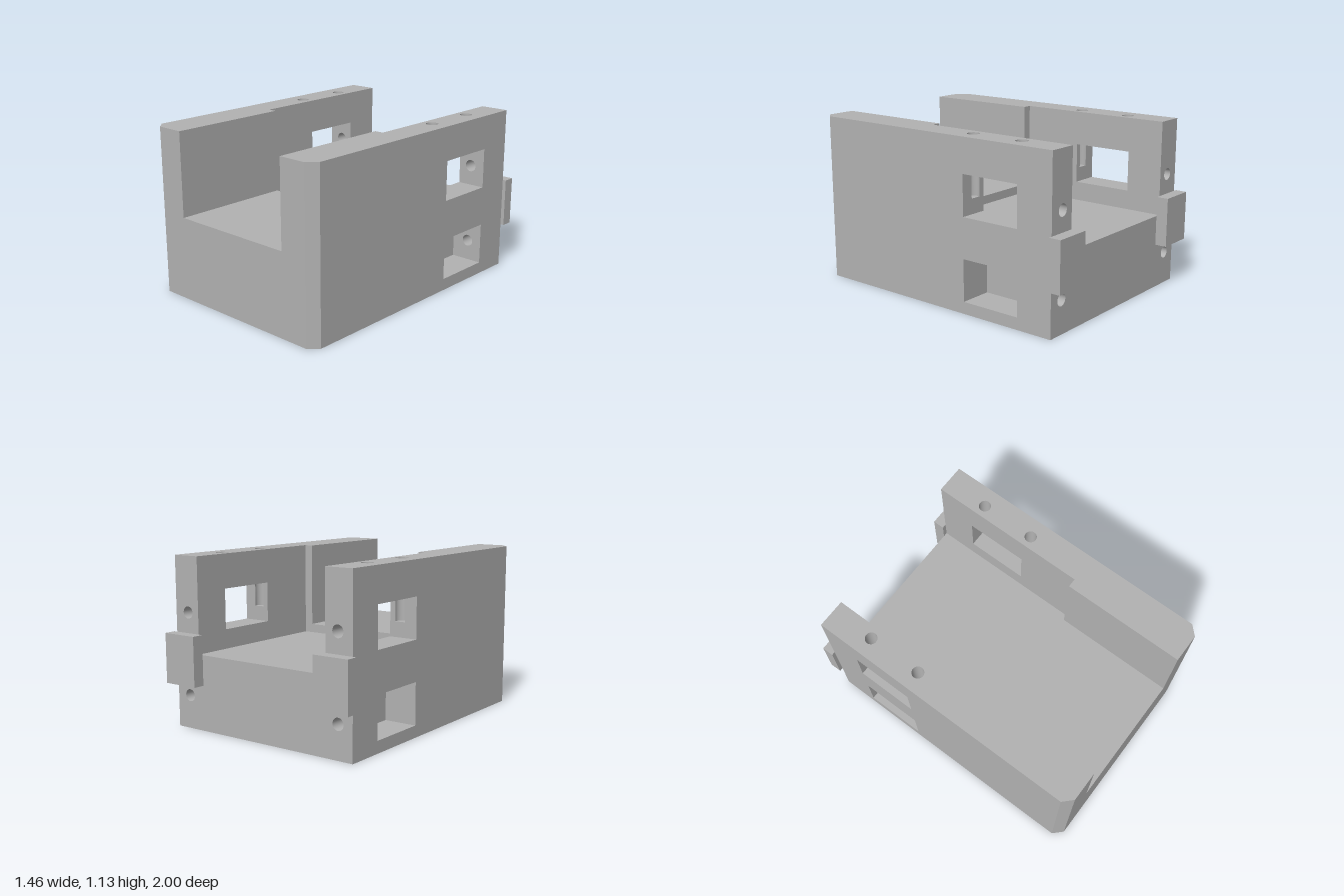
import * as THREE from 'three';

const W = 0.705, H = 1.13;            // half width, wall height
const BACK = -0.92, FRONT = 1, CH = 0.06; // ends and corner chamfer
const STEP = 0.17;                    // where the channel widens
const IN_F = 0.45, IN_R = 0.51;       // channel half widths, front and rear
const FL_F = 0.56, FL_R = 0.5;        // channel floors, front and rear
const WZ0 = -0.67, WZ1 = -0.25;       // window ends
const R = 0.04, BX = 0.585, BZ = [-0.61, -0.235], BORE_END = 0.73; // top bores
const PX = 0.6;                       // rear bores
const UP = { y0: 0.63, y1: 0.9, depth: IN_R, cy: 0.765 };
const LOW = { y0: 0.08, y1: 0.36, depth: 0.48, cy: 0.22 };

const rect = (a0, b0, a1, b1) => [[a0, b0], [a1, b0], [a1, b1], [a0, b1]];
const arc = (a, b, t0, t1, n = 32) => Array.from({ length: n + 1 }, (_, i) => {
  const t = t0 + (t1 - t0) * i / n;
  return [a + R * Math.sin(t), b + R * Math.cos(t)];
});
const circle = (a, b) => arc(a, b, 0, Math.PI * 2 * 31 / 32, 31);

function swapWinding(g) {
  const ix = g.index.array;
  for (let i = 0; i < ix.length; i += 3) [ix[i], ix[i + 1]] = [ix[i + 1], ix[i]];
  return g;
}

function flip(g) {
  const n = g.attributes.normal.array;
  for (let i = 0; i < n.length; i++) n[i] = -n[i];
  return swapWinding(g);
}

const mirror = (g) => swapWinding(g.clone().scale(-1, 1, 1));

// Flat face across one axis at position c, facing sign; outlines are (z,y), (x,z) or (x,y)
function face(axis, c, sign, outline, holes = []) {
  const toV = (l) => l.map(([a, b]) => new THREE.Vector2(a, b));
  const shape = new THREE.Shape(toV(outline));
  holes.forEach((h) => shape.holes.push(new THREE.Path(toV(h))));
  const g = new THREE.ShapeGeometry(shape);
  const p = g.attributes.position;
  for (let i = 0; i < p.count; i++) {
    const a = p.getX(i), b = p.getY(i);
    if (axis === 'x') p.setXYZ(i, c, b, a);
    else if (axis === 'y') p.setXYZ(i, a, c, b);
    else p.setXYZ(i, a, b, c);
  }
  if ((axis === 'z' ? 1 : -1) !== sign) swapWinding(g);
  g.computeVertexNormals();
  return g;
}

// Inside surface of an upright round hole
function bore(y0, y1, t0 = 0, len = Math.PI * 2) {
  return flip(new THREE.CylinderGeometry(R, R, y1 - y0, 32, 1, true, t0, len)).translate(0, (y0 + y1) / 2, 0);
}

export function createModel() {
  const model = new THREE.Group();
  model.name = 'bracket';
  const grey = new THREE.MeshStandardMaterial({ color: 0xb2b2b2, side: THREE.DoubleSide });
  grey.name = 'grey';

  const add = (name, g) => {
    const m = new THREE.Mesh(g, grey);
    m.name = name;
    model.add(m);
  };
  const addPair = (name, g) => {
    add(name + 'Left', g);
    add(name + 'Right', mirror(g));
  };
  const uShape = (w, y0, inner, floor) => [[-w, y0], [w, y0], [w, H], [inner, H],
    [inner, floor], [-inner, floor], [-inner, H], [-w, H]];

  // Body shell on the centre line
  add('underside', face('y', 0, -1, [[-W, BACK], [W, BACK], [W, FRONT - CH], [W - CH, FRONT],
    [CH - W, FRONT], [-W, FRONT - CH]]));
  add('frontFace', face('z', FRONT, 1, uShape(W - CH, 0, IN_F, FL_F)));
  add('backFace', face('z', BACK, -1, uShape(W, 0, IN_R, FL_R),
    [-PX, PX].flatMap((x) => [circle(x, UP.cy), circle(x, LOW.cy)])));
  add('frontFloor', face('y', FL_F, 1, rect(-IN_F, STEP, IN_F, FRONT)));
  add('rearFloor', face('y', FL_R, 1, rect(-IN_R, BACK, IN_R, STEP)));
  add('channelStep', face('z', STEP, -1, uShape(IN_R, FL_R, IN_F, FL_F)));

  // Side walls
  addPair('outerWall', face('x', W, 1, rect(BACK, 0, FRONT - CH, H),
    [UP, LOW].map((w) => rect(WZ0, w.y0, WZ1, w.y1))));
  addPair('frontChamfer', new THREE.PlaneGeometry(CH * Math.SQRT2, H)
    .rotateY(Math.PI / 4).translate(W - CH / 2, H / 2, FRONT - CH / 2));
  addPair('wallTop', face('y', H, 1, [[IN_R, BACK], [W, BACK], [W, FRONT - CH], [W - CH, FRONT],
    [IN_F, FRONT], [IN_F, STEP], [IN_R, STEP]], BZ.map((z) => circle(BX, z))));
  addPair('rearInnerWall', face('x', IN_R, -1, rect(BACK, FL_R, STEP, H),
    [rect(WZ0, UP.y0, WZ1, UP.y1)]));
  addPair('frontInnerWall', face('x', IN_F, -1, rect(STEP, FL_F, FRONT, H)));

  // Window linings; the forward top bore leaves a groove in the upper window
  const cut = Math.acos((WZ1 - BZ[1]) / R), half = R * Math.sin(cut);
  for (const [name, w] of [['upperWindow', UP], ['lowerWindow', LOW]]) {
    const upper = w === UP;
    addPair(name + 'Sill', face('y', w.y0, 1, rect(w.depth, WZ0, W, WZ1)));
    addPair(name + 'BackEnd', face('z', WZ0, 1, rect(w.depth, w.y0, W, w.y1), [circle(PX, w.cy)]));
    addPair(name + 'Ceiling', upper
      ? face('y', w.y1, -1, [[w.depth, WZ0], [W, WZ0], [W, WZ1],
        ...arc(BX, BZ[1], cut, Math.PI * 2 - cut, 12), [w.depth, WZ1]], [circle(BX, BZ[0])])
      : face('y', w.y1, -1, rect(w.depth, WZ0, W, WZ1)));
    addPair(name + 'FrontEnd', face('z', WZ1, -1, upper
      ? [[w.depth, w.y0], [W, w.y0], [W, w.y1], [BX + half, w.y1], [BX + half, BORE_END],
        [BX - half, BORE_END], [BX - half, w.y1], [w.depth, w.y1]]
      : rect(w.depth, w.y0, W, w.y1)));
    // Rear bore from the back face into the window
    addPair(name + 'RearBore', bore(BACK, WZ0).rotateX(Math.PI / 2).translate(PX, w.cy, 0));
  }
  addPair('lowerPocketWall', face('x', LOW.depth, 1, rect(WZ0, LOW.y0, WZ1, LOW.y1)));

  // Top bores and the groove below the forward one
  BZ.forEach((z, i) => addPair('topBore' + (i + 1), bore(UP.y1, H).translate(BX, 0, z)));
  addPair('boreGroove', bore(BORE_END, UP.y1, -cut, 2 * cut).translate(BX, 0, BZ[1]));
  addPair('boreGrooveFloor', face('y', BORE_END, 1, arc(BX, BZ[1], -cut, cut)));

  // Rear tabs
  addPair('rearTab', new THREE.BoxGeometry(0.25, 0.33, 0.08).translate(0.605, 0.465, -0.96));
  return model;
}
